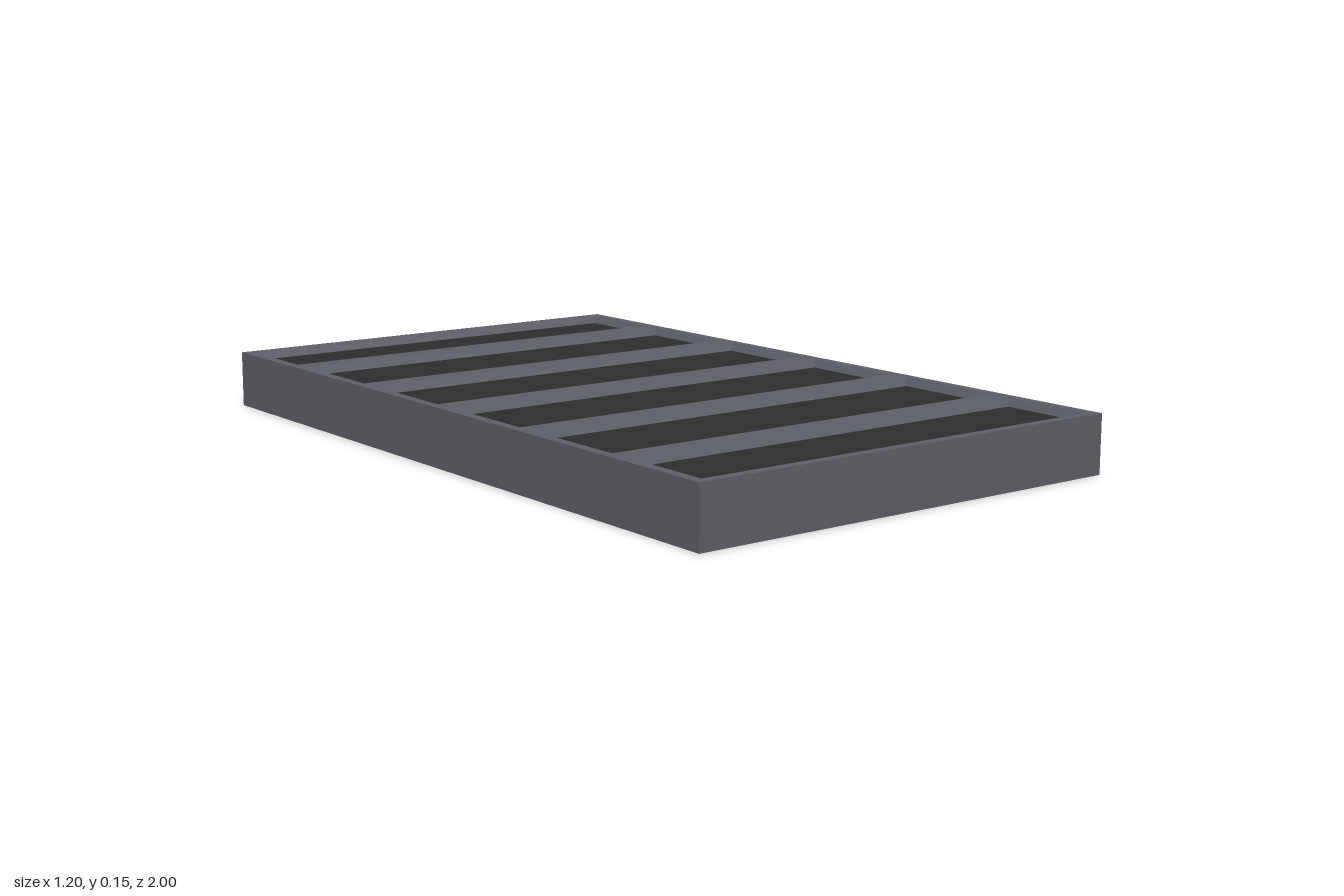
import * as THREE from 'three';

const HALF_W = 0.6, HALF_L = 1, HEIGHT = 0.147;
const PIT_DEPTH = 0.02, PIT_SLOPE = 0.012, PIT_HALF_W = 0.575;

// Four flat faces joining a lower rectangle to an upper one, facing outward
function band(lowW, lowL, lowY, highW, highL, highY) {
  const signs = [[-1, 1], [1, 1], [1, -1], [-1, -1]];
  const positions = [];
  signs.forEach(([sx, sz], i) => {
    const [tx, tz] = signs[(i + 1) % 4];
    const a = [sx * lowW, lowY, sz * lowL], b = [tx * lowW, lowY, tz * lowL];
    const c = [tx * highW, highY, tz * highL], d = [sx * highW, highY, sz * highL];
    positions.push(...a, ...b, ...c, ...a, ...c, ...d);
  });
  const geometry = new THREE.BufferGeometry();
  geometry.setAttribute('position', new THREE.Float32BufferAttribute(positions, 3));
  geometry.computeVertexNormals();
  return geometry;
}

function rectangle(path, halfW, z0, z1) {
  path.moveTo(-halfW, z0);
  path.lineTo(halfW, z0);
  path.lineTo(halfW, z1);
  path.lineTo(-halfW, z1);
  path.closePath();
  return path;
}

export function createModel() {
  const model = new THREE.Group();
  model.name = 'slattedTray';
  const frameGray = new THREE.MeshStandardMaterial({ color: 0x5c5e66, side: THREE.DoubleSide });
  frameGray.name = 'frameGray';
  const panelBlack = new THREE.MeshStandardMaterial({ color: 0x2c2c2c, side: THREE.DoubleSide });
  panelBlack.name = 'panelBlack';

  const add = (name, geometry, material, y = 0, z = 0) => {
    const mesh = new THREE.Mesh(geometry, material);
    mesh.name = name;
    mesh.position.set(0, y, z);
    model.add(mesh);
  };

  // Six recesses separated by five slats
  const slatHalf = 0.0275;
  const pits = [];
  for (let i = -3; i < 3; i++) {
    const start = i === -3 ? -0.975 : i * 0.35 + slatHalf;
    const end = i === 2 ? 0.975 : (i + 1) * 0.35 - slatHalf;
    pits.push([start, end]);
  }

  // Outer skirt, open underneath
  add('outerWalls', band(HALF_W, HALF_L, 0, HALF_W, HALF_L, HEIGHT), frameGray);

  // Top rim and slats as one sheet with openings
  const sheet = rectangle(new THREE.Shape(), HALF_W, -HALF_L, HALF_L);
  pits.forEach(([a, b]) => sheet.holes.push(rectangle(new THREE.Path(), PIT_HALF_W, a, b)));
  add('rimAndSlats', new THREE.ShapeGeometry(sheet).rotateX(-Math.PI / 2), frameGray, HEIGHT);

  // Sloped recess sides with a dark panel at the bottom of each
  pits.forEach(([a, b], i) => {
    const halfL = (b - a) / 2, z = (a + b) / 2;
    const innerW = PIT_HALF_W - PIT_SLOPE, innerL = halfL - PIT_SLOPE;
    const y = HEIGHT - PIT_DEPTH;
    add(`recessSides${i + 1}`, band(innerW, innerL, 0, PIT_HALF_W, halfL, PIT_DEPTH), frameGray, y, z);
    add(`panel${i + 1}`, new THREE.PlaneGeometry(innerW * 2, innerL * 2).rotateX(-Math.PI / 2), panelBlack, y, z);
  });

  return model;
}
